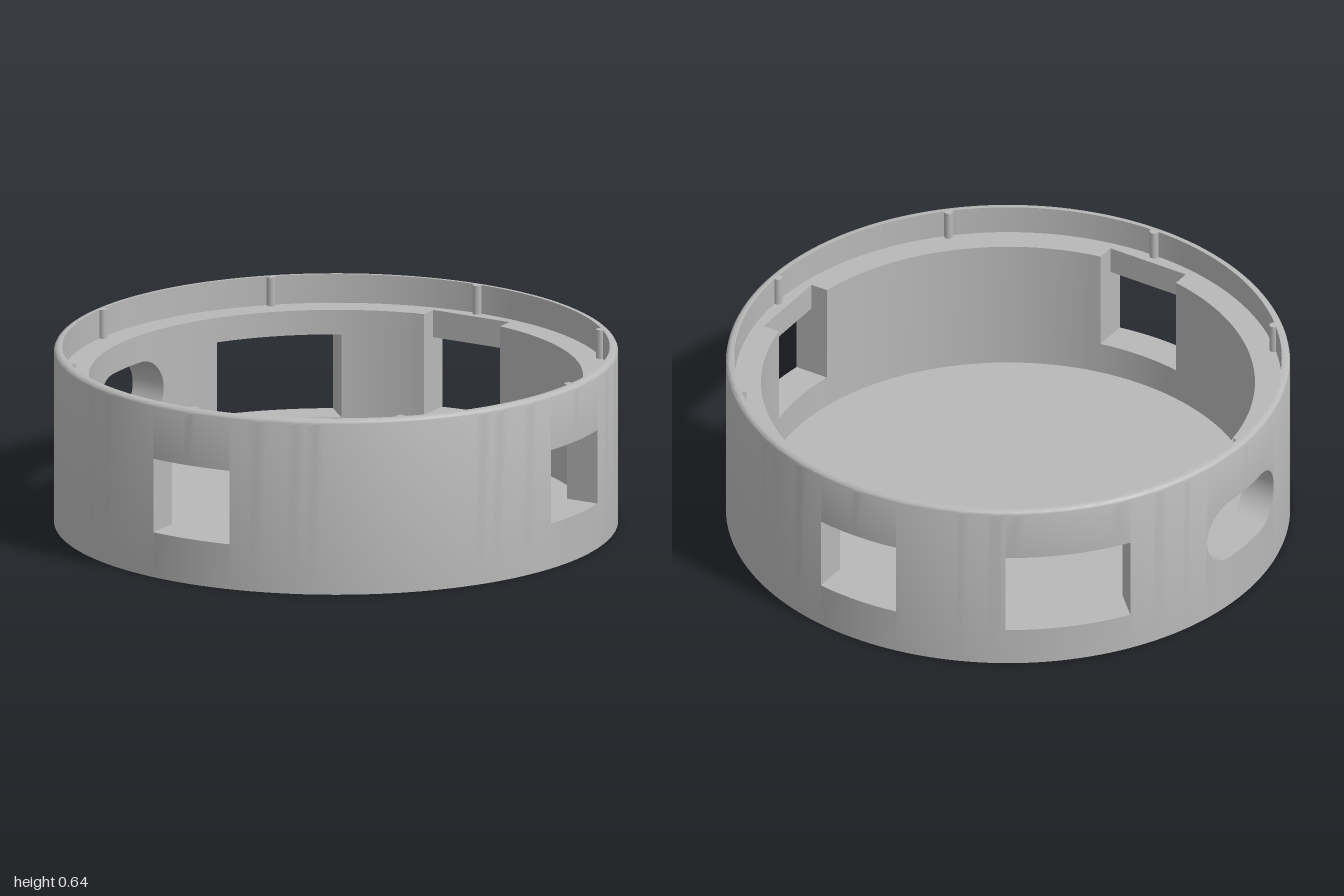
import * as THREE from 'three';
import { mergeGeometries, toCreasedNormals } from 'three/addons/utils/BufferGeometryUtils.js';

const H = 0.64, LEDGE = 0.535, R_IN = 0.875, R_LIP = 0.97, FILLET = 0.02;
const rad = THREE.MathUtils.degToRad;
const lerp = THREE.MathUtils.lerp;

// Openings in the wall; azimuth runs from +z towards +x, w is the half width.
// pocket: flat recess behind the opening, open to the ledge. slot: rounded ends.
const openings = [
  { az: 0, w: 0.158, lo: 0.165, hi: 0.435, pocket: 0.925 },
  { az: 90, w: 0.158, lo: 0.165, hi: 0.435, pocket: 0.925 },
  { az: 180, w: 0.158, lo: 0.165, hi: 0.435, pocket: 0.925 },
  { az: 225, w: 0.227, lo: 0.14, hi: 0.445 },
  { az: 270, w: 0.22, lo: 0.2, hi: 0.435, slot: true },
];

// Upper part of the wall section: rounded outer edge, lip and ledge, as [radius, y]
const rim = [];
for (let i = 0; i <= 5; i++) {
  const a = (i / 5) * Math.PI / 2;
  rim.push([1 - FILLET + FILLET * Math.cos(a), H - FILLET + FILLET * Math.sin(a)]);
}
rim.push([R_LIP, H], [R_LIP, LEDGE]);

const polar = (r, y, phi) => [r * Math.sin(phi), y, r * Math.cos(phi)];

// Skin a row of closed cross-sections, optionally closing both ends
function skin(columns, capProfile) {
  const n = columns[0].length, index = [];
  for (let j = 0; j < columns.length - 1; j++) {
    for (let i = 0; i < n; i++) {
      const k = (i + 1) % n;
      const a = j * n + i, b = a + n, c = (j + 1) * n + k, d = j * n + k;
      index.push(a, b, c, a, c, d);
    }
  }
  if (capProfile) {
    const end = (columns.length - 1) * n;
    const faces = THREE.ShapeUtils.triangulateShape(capProfile.map(p => new THREE.Vector2(...p)), []);
    for (const [a, b, c] of faces) index.push(a, b, c, end + a, end + c, end + b);
  }
  const geo = new THREE.BufferGeometry();
  geo.setAttribute('position', new THREE.Float32BufferAttribute(columns.flat(2), 3));
  geo.setIndex(index);
  return geo;
}

// Full-height wall from one opening to the next
function solidWall(from, to) {
  const profile = [[R_IN, 0], [1, 0], ...rim, [R_IN, LEDGE]];
  const a0 = rad(from.az), a1 = rad(to.az > from.az ? to.az : to.az + 360);
  const steps = Math.ceil((a1 - a0) / rad(2.5));
  const columns = [];
  for (let j = 0; j <= steps; j++) {
    columns.push(profile.map(([r, y]) => polar(r, y,
      lerp(a0 + Math.asin(from.w / r), a1 - Math.asin(to.w / r), j / steps))));
  }
  return skin(columns, profile);
}

// Wall below and above an opening
function openingWall(o) {
  const steps = o.slot ? 36 : 12, below = [], above = [];
  const capR = (o.hi - o.lo) / 2, mid = (o.hi + o.lo) / 2;
  for (let j = 0; j <= steps; j++) {
    // slot columns crowd towards the rounded ends
    const t = j / steps;
    const w = o.w * (o.slot ? -Math.cos(Math.PI * t) : 2 * t - 1);
    let lo = o.lo, hi = o.hi;
    if (o.slot) {
      const d = Math.max(0, Math.abs(w) - (o.w - capR));
      const h = Math.sqrt(Math.max(0, capR * capR - d * d));
      lo = mid - h;
      hi = mid + h;
    }
    const place = ([r, y]) => polar(r, y, rad(o.az) + Math.asin(w / r));
    const back = o.pocket ? Math.hypot(o.pocket, w) : R_IN;
    below.push([[R_IN, 0], [1, 0], [1, lo], [R_IN, lo]].map(place));
    above.push([[back, hi], [1, hi], ...rim, [back, LEDGE]].map(place));
  }
  return [skin(below), skin(above)];
}

export function createModel() {
  const group = new THREE.Group();
  const grey = new THREE.MeshStandardMaterial({ color: 0xb8b8b8 });
  grey.name = 'plain grey';
  const add = (name, geometry) => {
    const mesh = new THREE.Mesh(geometry, grey);
    mesh.name = name;
    group.add(mesh);
    return mesh;
  };

  // Ring wall with its openings
  const parts = openings.flatMap((o, i) =>
    [solidWall(o, openings[(i + 1) % openings.length]), ...openingWall(o)]);
  add('wall', toCreasedNormals(mergeGeometries(parts), 0.5));

  // Floor disc
  add('floor', new THREE.CylinderGeometry(0.878, 0.878, 0.045, 144)).position.y = 0.0225;

  // Eight small ribs inside the lip
  for (let i = 0; i < 8; i++) {
    const rib = add('lipRib', new THREE.CylinderGeometry(0.016, 0.016, H - LEDGE, 16));
    rib.position.set(...polar(0.965, (H + LEDGE) / 2, i * Math.PI / 4));
  }
  return group;
}
